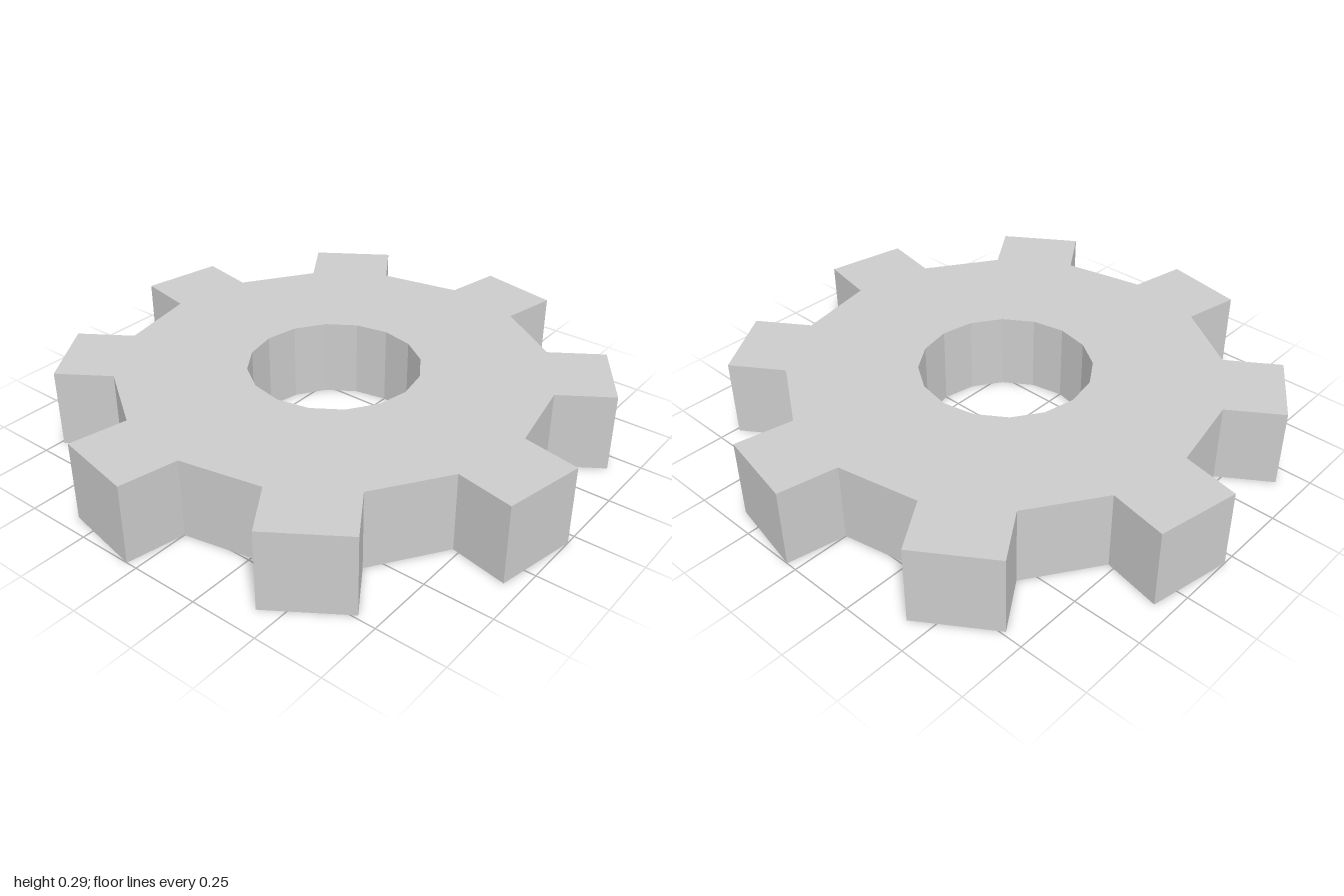
import * as THREE from 'three';

const SIDES = 16;
const ROOT_RADIUS = 0.787;
const TOOTH_HEIGHT = 0.217;
const HOLE_RADIUS = 0.315;
const THICKNESS = 0.295;

// Point at a clockwise angle, measured from the back of the gear
const polar = (radius, angle) =>
  new THREE.Vector2(Math.sin(angle) * radius, Math.cos(angle) * radius);

export function createModel() {
  const group = new THREE.Group();
  group.name = 'gear';

  // Rim: a 16-sided polygon with a straight tooth raised on every second side
  // Bore: a 16-sided hole, wound the opposite way so its wall faces inwards
  const step = (Math.PI * 2) / SIDES;
  const rim = [];
  const bore = [];
  for (let i = 0; i < SIDES; i++) {
    const start = polar(ROOT_RADIUS, i * step);
    rim.push(start);
    if (i % 2 === 0) {
      const end = polar(ROOT_RADIUS, (i + 1) * step);
      const outward = polar(TOOTH_HEIGHT, (i + 0.5) * step);
      rim.push(start.clone().add(outward), end.add(outward));
    }
    bore.push(polar(HOLE_RADIUS, -i * step));
  }
  const shape = new THREE.Shape(rim);
  shape.holes.push(new THREE.Path(bore));

  // Lay the extruded profile flat on the ground
  const geometry = new THREE.ExtrudeGeometry(shape, { depth: THICKNESS, bevelEnabled: false });
  geometry.rotateX(-Math.PI / 2);

  const material = new THREE.MeshStandardMaterial({ color: 0xcccccc, flatShading: true });
  const body = new THREE.Mesh(geometry, material);
  body.name = 'gearBody';
  group.add(body);
  return group;
}
